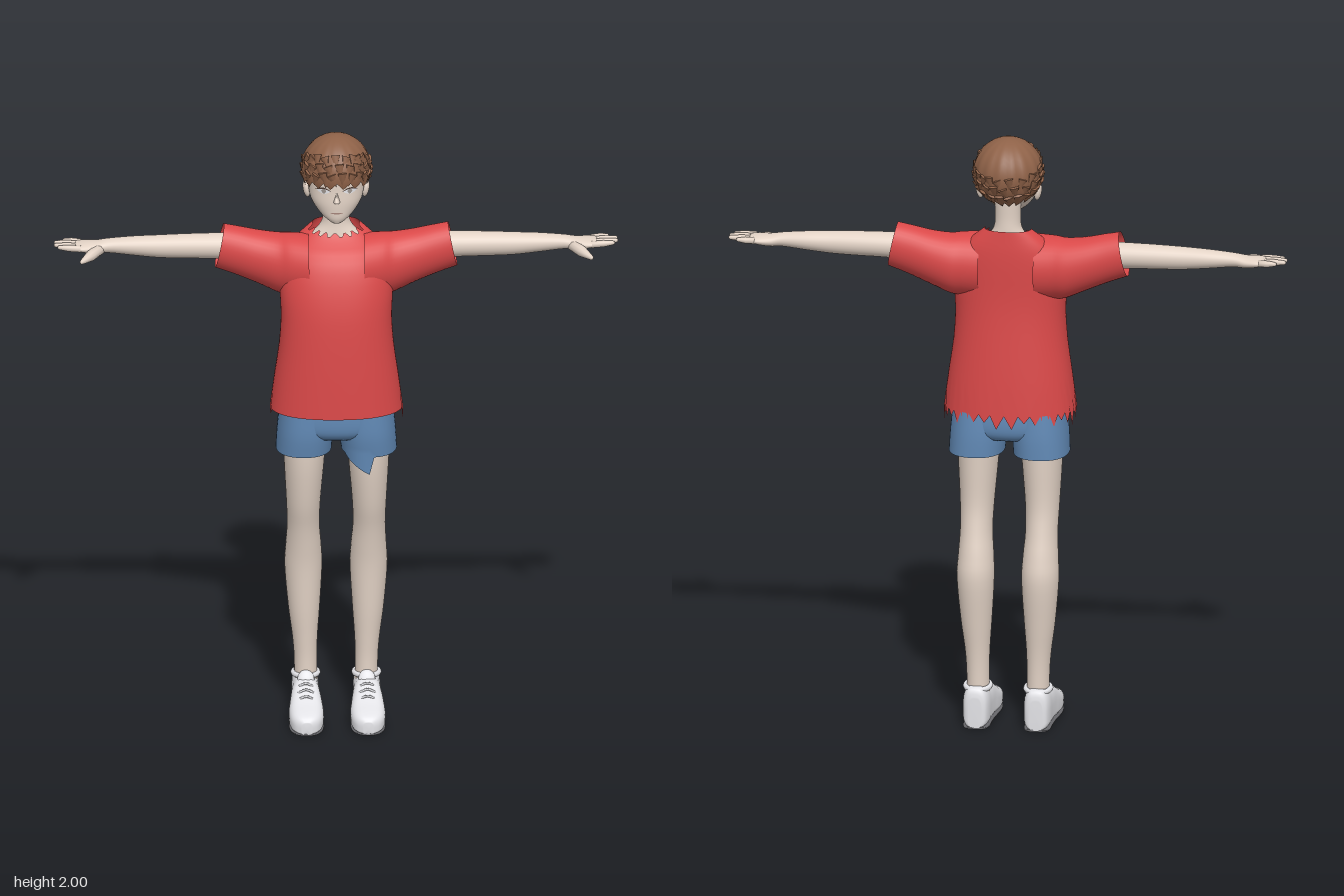
import * as THREE from 'three';
import { mergeGeometries } from 'three/addons/utils/BufferGeometryUtils.js';

const mat = (name, color, side = THREE.FrontSide) => {
  const m = new THREE.MeshStandardMaterial({ color, side });
  m.name = name;
  return m;
};
const { cos, sin, abs, sign, PI, sqrt, max } = Math;
const pw = (v, p) => sign(v) * abs(v) ** p;

// Smooths a table of equally long rows with k steps between rows (Catmull-Rom per column)
function smooth(rows, k = 4) {
  const out = [], at = i => rows[Math.min(rows.length - 1, max(0, i))];
  for (let i = 0; i < rows.length - 1; i++) for (let s = 0; s < k; s++) {
    const t = s / k;
    out.push(rows[i].map((b, c) => {
      const a = at(i - 1)[c], d = at(i + 1)[c], e = at(i + 2)[c];
      return b + 0.5 * t * (d - a + t * (2 * a - 5 * b + 4 * d - e + t * (3 * (b - d) + e - a)));
    }));
  }
  out.push(rows[rows.length - 1]);
  return out;
}

// Skin over closed rings of equal length, with optional end caps
function loft(rings, cap0 = false, cap1 = false) {
  const n = rings[0].length, pos = rings.flat(2), idx = [];
  for (let i = 0; i < rings.length - 1; i++) for (let j = 0; j < n; j++) {
    const a = i * n + j, b = i * n + (j + 1) % n;
    idx.push(a, a + n, b + n, a, b + n, b);
  }
  const cap = (r, base, flip) => {
    const c = pos.length / 3;
    for (let k = 0; k < 3; k++) pos.push(r.reduce((s, p) => s + p[k], 0) / n);
    for (let j = 0; j < n; j++) {
      const a = base + j, b = base + (j + 1) % n;
      idx.push(c, flip ? a : b, flip ? b : a);
    }
  };
  if (cap0) cap(rings[0], 0, true);
  if (cap1) cap(rings[rings.length - 1], (rings.length - 1) * n, false);
  const g = new THREE.BufferGeometry();
  g.setAttribute('position', new THREE.Float32BufferAttribute(pos, 3));
  g.setIndex(idx);
  g.computeVertexNormals();
  return g;
}
const ring = (n, f) => Array.from({ length: n }, (_, j) => f(j / n * 2 * PI, j));
// Upright ring from [y, half width, front z, back z, centre x]
const yRing = ([y, rx, zf, zb, cx = 0], n = 32, p = 1) => ring(n, a =>
  [cx + rx * pw(cos(a), p), y, (zf + zb) / 2 + (zf - zb) / 2 * pw(sin(a), p)]);
// Sideways ring from [x, y, z, half height, half depth], lean tilts the opening
const xRing = ([x, y, z, ry, rz, lean = 0], n = 28) => ring(n, a =>
  [x - lean * cos(a), y + ry * cos(a), z - rz * sin(a)]);

// Rounded tapered finger between two points
function finger(p0, p1, r0, r1) {
  const a = new THREE.Vector3(...p0), d = new THREE.Vector3(...p1).sub(a), L = d.length();
  const pts = [[0, 0], [r0, 0], [r0, L * 0.5], [r1, L - r1], [r1 * 0.7, L - r1 * 0.3], [0, L]];
  const g = new THREE.LatheGeometry(pts.map(p => new THREE.Vector2(...p)), 10);
  g.applyQuaternion(new THREE.Quaternion().setFromUnitVectors(new THREE.Vector3(0, 1, 0), d.normalize()));
  return g.translate(...p0);
}
function mirrored(geo) {
  const g = geo.clone().scale(-1, 1, 1), ix = g.index.array;
  for (let i = 0; i < ix.length; i += 3) [ix[i + 1], ix[i + 2]] = [ix[i + 2], ix[i + 1]];
  return g;
}

export function createModel() {
  const model = new THREE.Group();
  model.name = 'standingBoy';
  const skin = mat('skin', 0xe2d2c5), hairM = mat('brownHair', 0x8f6248, THREE.DoubleSide);
  const red = mat('redCloth', 0xd94848, THREE.DoubleSide), blue = mat('blueDenim', 0x6189b5, THREE.DoubleSide);
  const white = mat('whiteLeather', 0xe6e6ea), grey = mat('greyRubber', 0x66666a);
  const dark = mat('darkLash', 0x4a3830), iris = mat('greyIris', 0x9a928c), lip = mat('lip', 0xa8877c);
  const add = (name, geo, m) => {
    const mesh = new THREE.Mesh(geo, m);
    mesh.name = name;
    model.add(mesh);
  };
  const pair = (name, geo, m) => {
    add(name + 'Left', geo, m);
    add(name + 'Right', mirrored(geo), m);
  };

  // Head and neck
  const face = smooth([[1.728, 0.016, 0.046, 0.015], [1.745, 0.042, 0.053, -0.03], [1.77, 0.066, 0.055, -0.07],
    [1.80, 0.084, 0.056, -0.1], [1.84, 0.092, 0.054, -0.13], [1.88, 0.095, 0.052, -0.145],
    [1.93, 0.086, 0.038, -0.14], [1.965, 0.055, 0, -0.1]]);
  add('head', loft(face.map(r => yRing(r, 44)), true, true), skin);
  add('neck', loft(smooth([[1.60, 0.11, -0.01, -0.11], [1.64, 0.1, -0.015, -0.108], [1.67, 0.066, -0.02, -0.107],
    [1.70, 0.046, -0.024, -0.105], [1.74, 0.042, -0.024, -0.103], [1.80, 0.045, -0.02, -0.105]]).map(r => yRing(r))), skin);
  const nose = new THREE.ConeGeometry(0.011, 0.04, 8);
  add('nose', nose.scale(1, 1, 1.7).rotateX(-0.12).translate(0, 1.824, 0.053), skin);
  pair('ear', new THREE.SphereGeometry(1, 16, 12).scale(0.012, 0.03, 0.019).rotateZ(-0.15)
    .translate(0.096, 1.818, -0.045), skin);

  // Facial details: thin patches that follow the face
  const faceZ = (x, y) => {
    const i = max(0, face.findIndex(r => r[0] > y) - 1), a = face[i], b = face[i + 1];
    const [, rx, f, k] = a.map((v, c) => v + (b[c] - v) * (y - a[0]) / (b[0] - a[0]));
    return (f + k) / 2 + (f - k) / 2 * sqrt(max(0, 1 - (x / rx) ** 2));
  };
  const patch = (x0, x1, top, bottom, lift) => {
    const g = new THREE.PlaneGeometry(1, 1, 10, 3), p = g.attributes.position;
    for (let i = 0; i < p.count; i++) {
      const u = p.getX(i) + 0.5, v = p.getY(i) + 0.5, x = x0 + (x1 - x0) * u;
      const y = bottom(u) + (top(u) - bottom(u)) * v;
      p.setXYZ(i, x, y, faceZ(x, y) + lift);
    }
    g.computeVertexNormals();
    return g;
  };
  const arch = (y, h) => u => y + h * sin(PI * u);
  pair('eyeWhite', patch(0.02, 0.066, arch(1.842, 0.008), arch(1.842, -0.01), 0.002), white);
  pair('iris', patch(0.034, 0.051, arch(1.842, 0.007), arch(1.842, -0.009), 0.003), iris);
  pair('upperLash', patch(0.017, 0.07, arch(1.842, 0.012), arch(1.841, 0.008), 0.004), dark);
  pair('eyebrow', patch(0.02, 0.07, arch(1.865, 0.008), arch(1.863, 0.006), 0.003), hairM);
  add('mouth', patch(-0.02, 0.02, arch(1.768, 0.001), arch(1.767, -0.003), 0.003), lip);

  // Hair: ellipsoid cap with a jagged lower edge and overlapping locks
  const hairPoint = (a, y, k = 1) => {
    const c = Math.min(1, max(-1, (y - 1.885) / 0.115)), s = sqrt(1 - c * c) * k;
    return [0.113 * s * cos(a), y, -0.055 + 0.122 * s * sin(a)];
  };
  const edge = a => {
    const f = sin(a);
    return f > 0 ? 1.832 + 0.032 * f ** 0.7 : 1.832 - 0.038 * abs(f) ** 0.6;
  };
  const rows = 16, hairRings = [];
  for (let i = 0; i <= rows; i++) hairRings.push(ring(96, (a, j) => {
    const low = edge(a) + (abs(j % 6 - 3) / 3 - 0.6) * 0.022;
    const t = Math.acos((low - 1.885) / 0.115) * (1 - i / rows);
    return hairPoint(a, 1.885 + 0.115 * cos(t), 1 + 0.012 * sin(16 * a) * sin(t));
  }));
  add('hairCap', loft(hairRings), hairM);
  const locks = [];
  for (let r = 0; r < 3; r++) for (let i = 0; i < 22; i++) {
    const a = (i + r * 0.37 + 0.2 * sin(i * 7 + r)) / 22 * 2 * PI, y = edge(a) + 0.018 + r * 0.028;
    const at = new THREE.Vector3(...hairPoint(a, y, 0.985));
    const down = new THREE.Vector3(...hairPoint(a + 0.06 * sin(i * 5), y - 0.015, 0.985)).sub(at).normalize();
    const out = new THREE.Vector3(cos(a), 0, sin(a));
    const side = new THREE.Vector3().crossVectors(down, out).normalize();
    out.crossVectors(side, down);
    const m = new THREE.Matrix4().makeBasis(side, down, out).setPosition(at);
    locks.push(new THREE.ConeGeometry(0.017, 0.05 + 0.008 * sin(i * 3), 6).scale(1, 1, 0.3).applyMatrix4(m));
  }
  add('hairLocks', mergeGeometries(locks), hairM);

  // Shirt body: torn hem at the sides and back, frayed neckline at the front
  const N = 72;
  const body = smooth([[1.08, 0.216, 0.14, -0.156], [1.2, 0.2, 0.135, -0.146], [1.3, 0.186, 0.129, -0.136],
    [1.4, 0.18, 0.12, -0.126], [1.48, 0.184, 0.105, -0.122], [1.56, 0.18, 0.08, -0.122],
    [1.62, 0.158, 0.048, -0.12], [1.66, 0.118, 0.012, -0.116], [1.695, 0.076, -0.012, -0.112]], 2)
    .map(r => yRing(r, N, 0.88));
  body.forEach(r => r.forEach((p, j) => {
    p[1] -= 0.022 * max(0, sin(j / N * 2 * PI)) * max(0, (p[1] - 1.6) / 0.09);
  }));
  body[0].forEach((p, j) => {
    if (p[2] < 0.02 && j % 2) p[1] -= 0.036 + 0.014 * sin(j * 2.3);
  });
  const neckline = body[body.length - 1], under = body[body.length - 2];
  neckline.forEach((p, j) => {
    if (sin(j / N * 2 * PI) > 0.25 && j % 4 < 2) p.forEach((v, k) => { p[k] = v + (under[j][k] - v) * 0.9; });
  });
  add('shirtBody', loft(body), red);
  pair('sleeve', loft(smooth([[0.09, 1.555, -0.025, 0.11, 0.1, 0], [0.15, 1.56, -0.035, 0.105, 0.09, 0],
    [0.19, 1.563, -0.045, 0.1, 0.083, 0], [0.25, 1.58, -0.05, 0.09, 0.073, 0], [0.32, 1.603, -0.05, 0.08, 0.064, 0.008],
    [0.379, 1.62, -0.05, 0.073, 0.06, 0.015]]).map(r => xRing(r, 36))), red);

  // Arms and hands
  pair('arm', loft(smooth([[0.28, 1.614, -0.055, 0.046, 0.045], [0.40, 1.617, -0.055, 0.042, 0.043],
    [0.50, 1.617, -0.055, 0.04, 0.04], [0.58, 1.617, -0.055, 0.037, 0.037], [0.66, 1.619, -0.057, 0.031, 0.034],
    [0.74, 1.62, -0.058, 0.023, 0.029], [0.78, 1.616, -0.058, 0.02, 0.036], [0.82, 1.618, -0.058, 0.016, 0.043],
    [0.848, 1.62, -0.058, 0.01, 0.04]]).map(r => xRing(r)), false, true), skin);
  const digits = [[-0.09, 0.888, -0.1], [-0.069, 0.916, -0.079], [-0.047, 0.917, -0.054], [-0.026, 0.906, -0.032]]
    .map(([z, x, tz]) => finger([0.83, 1.62, z], [x, 1.624, tz], 0.011, 0.007));
  digits.push(finger([0.765, 1.614, -0.045], [0.832, 1.598, 0.045], 0.018, 0.008));
  pair('fingers', mergeGeometries(digits), skin);

  // Shorts, with a rag hanging from the left leg
  add('shortsSeat', loft(smooth([[0.985, 0.12, 0.075, -0.12], [1.01, 0.18, 0.095, -0.137], [1.06, 0.187, 0.1, -0.14],
    [1.16, 0.175, 0.095, -0.13]]).map(r => yRing(r, 48, 0.8)), true), blue);
  const shortLeg = rag => {
    const rings = smooth([[0.93, 0.091, 0.088, -0.143, 0.106], [1.0, 0.091, 0.098, -0.143, 0.102],
      [1.08, 0.085, 0.098, -0.137, 0.1]]).map(r => yRing(r, 48, 0.88));
    if (rag) rings[0].forEach((p, j) => {
      if (j >= 12 && j <= 19) p[1] -= 0.06 * (1 - (j - 12) / 8);
    });
    return loft(rings);
  };
  add('shortsLegLeft', shortLeg(true), blue);
  add('shortsLegRight', mirrored(shortLeg(false)), blue);

  // Legs
  pair('leg', loft(smooth([[0.08, 0.038, -0.012, -0.1, 0.098], [0.18, 0.037, -0.016, -0.1, 0.099],
    [0.26, 0.041, -0.012, -0.105, 0.101], [0.36, 0.051, -0.004, -0.118, 0.104], [0.5, 0.061, 0.004, -0.135, 0.106],
    [0.58, 0.058, 0.014, -0.125, 0.106], [0.66, 0.053, 0.029, -0.106, 0.107], [0.75, 0.056, 0.052, -0.092, 0.107],
    [0.88, 0.065, 0.073, -0.095, 0.105], [1.0, 0.072, 0.08, -0.1, 0.103]]).map(r => yRing(r))), skin);

  // Shoes: cross-sections [z, half width, height] from heel to toe
  const shoe = smooth([[-0.126, 0.022, 0.1], [-0.118, 0.036, 0.128], [-0.09, 0.044, 0.136], [-0.04, 0.045, 0.126],
    [0.01, 0.048, 0.124], [0.05, 0.053, 0.104], [0.1, 0.057, 0.08], [0.145, 0.052, 0.066],
    [0.172, 0.038, 0.055], [0.185, 0.016, 0.04]]);
  const zLoft = (h, y0, p) => loft(shoe.map(s => ring(28, a => {
    const v = sin(a), height = h ?? s[2];
    return [0.1 - s[1] * pw(cos(a), p), y0 + height * (0.5 + 0.5 * pw(v, v < 0 ? 0.35 : 0.9)), s[0]];
  })), true, true);
  pair('shoe', zLoft(null, 0.004, 0.6), white);
  pair('sole', zLoft(0.008, 0, 0.3), grey);
  pair('shoeCollar', new THREE.TorusGeometry(0.04, 0.009, 8, 28).rotateX(PI / 2).scale(1, 1, 1.2)
    .rotateX(-0.06).translate(0.099, 0.131, -0.06), white);
  pair('shoeTongue', new THREE.SphereGeometry(1, 16, 10).scale(0.028, 0.035, 0.012).rotateX(-0.5)
    .translate(0.099, 0.123, -0.004), white);
  const laces = [[0.03, 0.119], [0.055, 0.107], [0.08, 0.093]].map(([z, y]) =>
    new THREE.TubeGeometry(new THREE.CatmullRomCurve3([[-0.034, -0.012], [0, 0.005], [0.034, -0.012]]
      .map(([x, h]) => new THREE.Vector3(0.1 + x, y + h, z))), 10, 0.004, 6));
  pair('laces', mergeGeometries(laces), white);
  return model;
}
